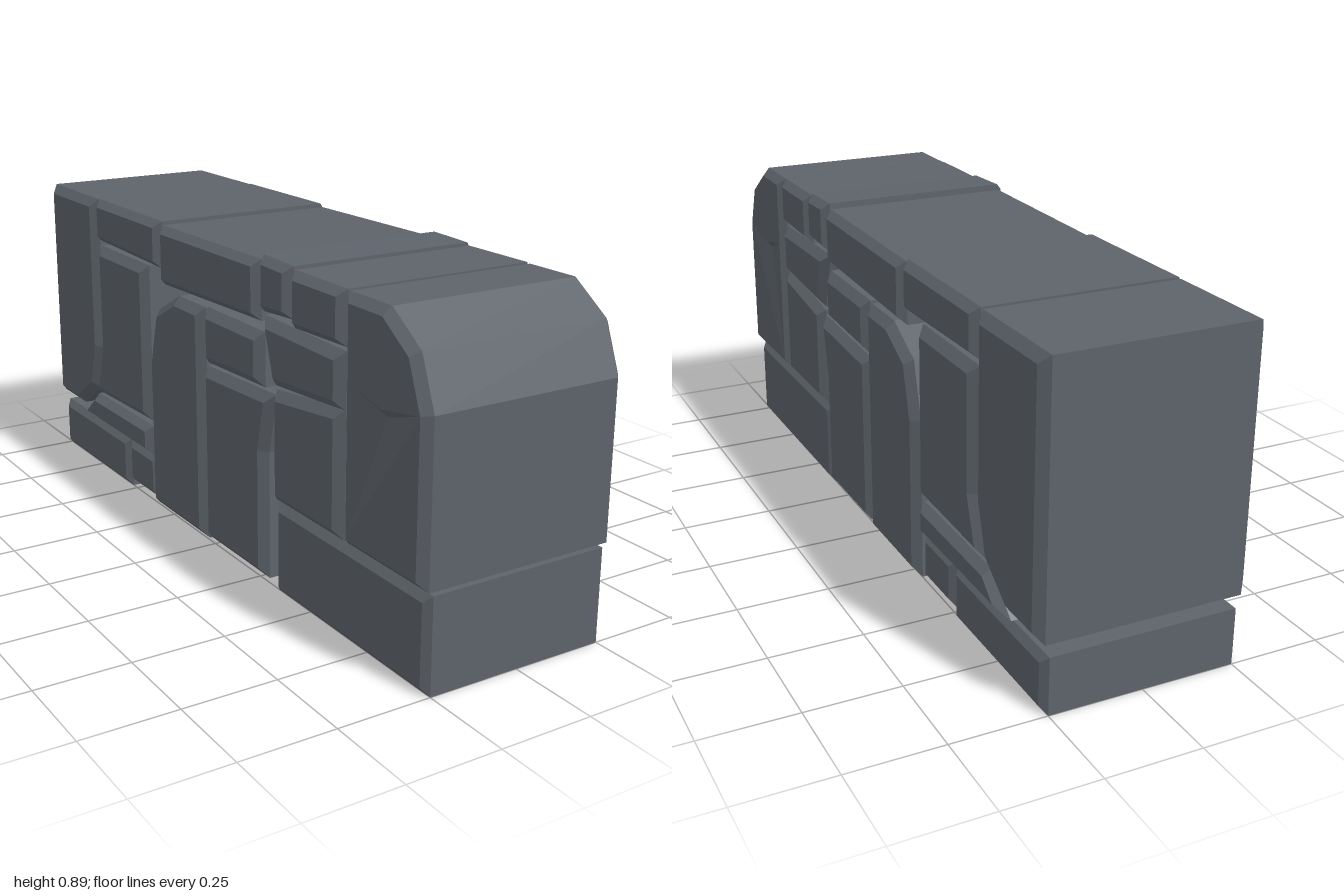
import * as THREE from 'three';

// Move every corner of a counter-clockwise outline inwards by d (mitred).
function insetOutline(pts, d) {
  const n = pts.length;
  const normal = (a, b) => {
    const dz = b[0] - a[0], dy = b[1] - a[1], l = Math.hypot(dz, dy);
    return [-dy / l, dz / l];
  };
  return pts.map((p, i) => {
    const m = normal(pts[(i + n - 1) % n], p);
    const k = normal(p, pts[(i + 1) % n]);
    const s = d / (1 + m[0] * k[0] + m[1] * k[1]);
    return [p[0] + s * (m[0] + k[0]), p[1] + s * (m[1] + k[1])];
  });
}

// A stone running through the wall: a [z, y] outline with bevelled side faces.
// chip = { from, to, high, low, depth } cuts a shallow notch between two corners.
function stoneGeometry(outline, { edge = 0.262, face = 0.284, bevel = 0.025, chip } = {}) {
  const area = THREE.ShapeUtils.area(outline.map(([z, y]) => new THREE.Vector2(z, y)));
  const outer = area < 0 ? [...outline].reverse() : outline;
  const inner = insetOutline(outer, bevel);
  const pos = [];
  const tri = (...corners) => corners.forEach(([x, y, z]) => pos.push(x, y, z));

  // Edge band and the two bevels
  const rings = [[inner, -face], [outer, -edge], [outer, edge], [inner, face]]
    .map(([pts, x]) => pts.map(([z, y]) => [x, y, z]));
  for (let r = 0; r < 3; r++) {
    for (let i = 0; i < outer.length; i++) {
      const j = (i + 1) % outer.length;
      const a = rings[r][i], b = rings[r][j], c = rings[r + 1][j], d = rings[r + 1][i];
      tri(a, c, b);
      tri(a, d, c);
    }
  }

  // Side faces, as loops of [z, y, x]
  const flat = inner.map(([z, y]) => [z, y, face]);
  let loops = [flat];
  if (chip) {
    const { from, to } = chip;
    const high = [...chip.high, face], low = [...chip.low, face - chip.depth];
    loops = [
      [...flat.slice(0, from + 1), low, ...flat.slice(to)],
      [...flat.slice(from, to + 1), high],
      [flat[from], high, flat[to], low],
    ];
  }
  for (const loop of loops) {
    const contour = loop.map(([z, y]) => new THREE.Vector2(z, y));
    for (const [a, b, c] of THREE.ShapeUtils.triangulateShape(contour, [])) {
      const at = (i, s) => [s * loop[i][2], loop[i][1], loop[i][0]];
      tri(at(a, -1), at(b, -1), at(c, -1));
      tri(at(a, 1), at(c, 1), at(b, 1));
    }
  }

  const geometry = new THREE.BufferGeometry();
  geometry.setAttribute('position', new THREE.Float32BufferAttribute(pos, 3));
  geometry.computeVertexNormals();
  return geometry;
}

export function createModel() {
  const wall = new THREE.Group();
  wall.name = 'stoneWall';
  const slate = new THREE.MeshStandardMaterial({ color: 0x5d636a });
  slate.name = 'slate';

  const stone = (name, outline, options) => {
    const mesh = new THREE.Mesh(stoneGeometry(outline, options), slate);
    mesh.name = name;
    wall.add(mesh);
  };
  const narrow = { edge: 0.25, face: 0.266, bevel: 0.02 };

  // Bottom course
  stone('frontBaseStone', [[1, 0], [1, 0.25], [0.35, 0.25], [0.35, 0]], narrow);
  stone('backBaseStone', [[-0.525, 0], [-0.525, 0.153], [-1, 0.153], [-1, 0]], narrow);
  stone('smallBaseStone', [[-0.335, 0.022], [-0.335, 0.155], [-0.517, 0.155], [-0.517, 0.022]], narrow);
  stone('wedgeStone', [[-0.345, 0.16], [-0.345, 0.25], [-0.73, 0.247], [-0.835, 0.16]], { bevel: 0.02 });

  // Front end stone with its rounded shoulder and chipped sides
  stone('frontEndStone',
    [[0.68, 0.26], [1, 0.26], [1, 0.67], [0.95, 0.8], [0.84, 0.875], [0.68, 0.875], [0.68, 0.67]],
    { bevel: 0.022, chip: { from: 2, to: 6, high: [0.835, 0.642], low: [0.835, 0.62], depth: 0.02 } });

  // Cracked stone behind the front end, in two halves meeting at the crack
  stone('crackedStoneTop', [[0.668, 0.585], [0.668, 0.73], [0.303, 0.735], [0.355, 0.565]]);
  stone('crackedStoneBottom', [[0.668, 0.26], [0.668, 0.592], [0.357, 0.555], [0.357, 0.26]]);

  // Middle stones
  stone('middleStone', [[0, 0.025], [0, 0.525], [0.357, 0.54], [0.32, 0.375], [0.32, 0.025]]);
  stone('middleCapStone', [[0.003, 0.535], [0.003, 0.69], [0.303, 0.69], [0.303, 0.545]]);
  stone('roundedStone',
    [[-0.007, 0.018], [-0.007, 0.685], [-0.16, 0.685], [-0.285, 0.62], [-0.327, 0.465], [-0.327, 0.018]]);
  stone('bentStone', [[-0.345, 0.267], [-0.345, 0.735], [-0.665, 0.735], [-0.665, 0.41], [-0.717, 0.257]]);

  // Back end stone
  stone('backEndStone',
    [[-0.678, 0.875], [-1, 0.875], [-1, 0.187], [-0.84, 0.187], [-0.72, 0.27], [-0.678, 0.41]]);

  // Top course
  stone('topStoneOne', [[0.67, 0.74], [0.67, 0.877], [0.445, 0.877], [0.445, 0.733]], { bevel: 0.02 });
  stone('topStoneTwo', [[0.437, 0.752], [0.437, 0.884], [0.297, 0.888], [0.297, 0.743]], { bevel: 0.02 });
  stone('topStoneThree', [[0.287, 0.715], [0.287, 0.873], [-0.247, 0.868], [-0.247, 0.7]], { bevel: 0.02 });
  stone('topStoneFour', [[-0.257, 0.742], [-0.257, 0.877], [-0.668, 0.877], [-0.668, 0.75]], { bevel: 0.02 });

  return wall;
}
